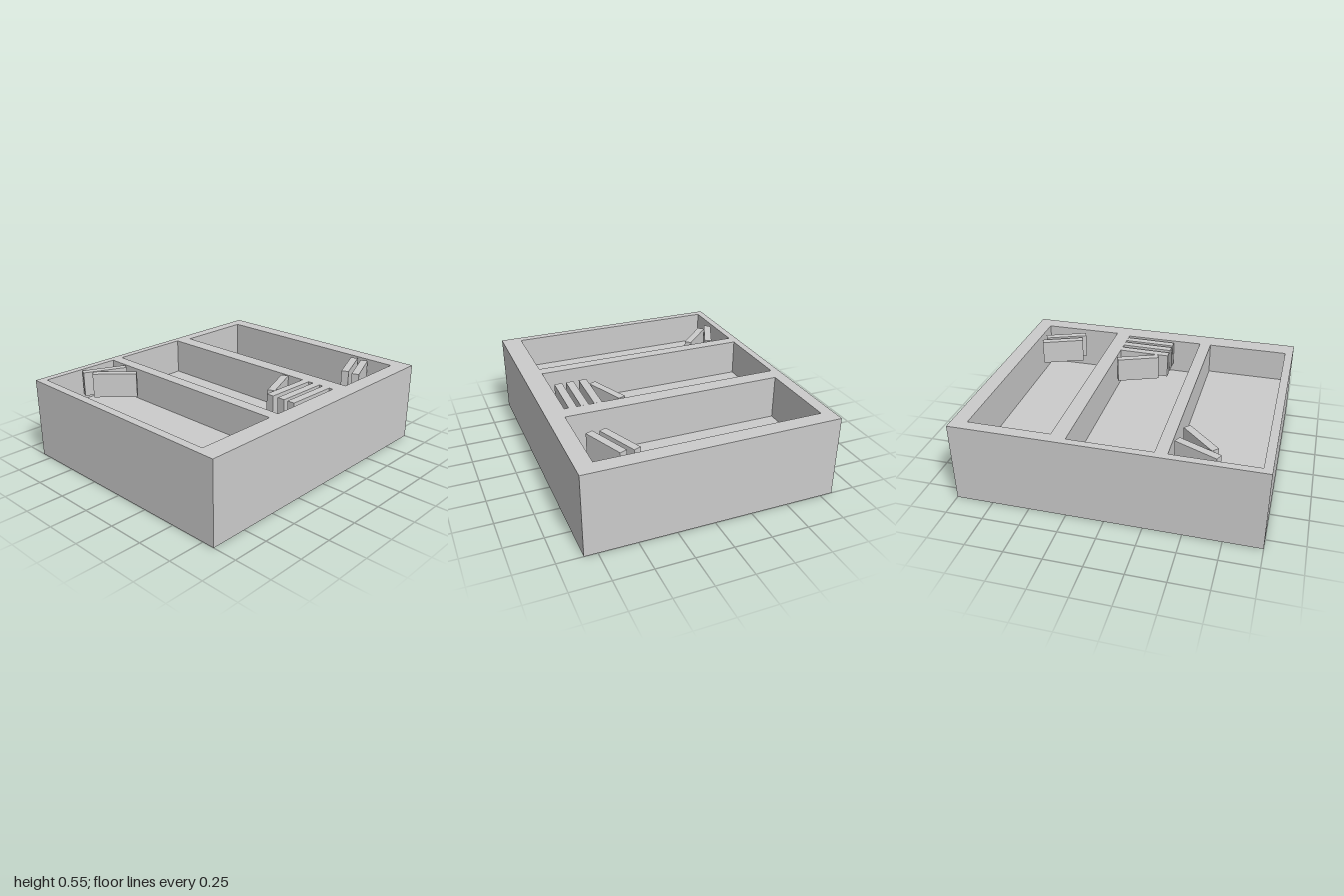
import * as THREE from 'three';

const material = new THREE.MeshStandardMaterial({ color: 0xcccccc, flatShading: true });
const HEIGHT = 0.55;

// Compartments: x range, z range, floor height
const compartments = [
  { x: [-0.755, 0.725], z: [-0.895, -0.345], floor: 0.25 },
  { x: [-0.785, 0.70], z: [-0.24, 0.31], floor: 0.30 },
  { x: [-0.785, 0.70], z: [0.39, 0.945], floor: 0.33 },
];

// Books: middles of the two ends [x, z] and the thickness
const books = [
  [[0.445, -0.855], [0.56, -0.575], 0.05],
  [[0.53, -0.855], [0.645, -0.575], 0.05],
  [[0.31, -0.225], [0.423, 0.05], 0.05],
  [[0.477, -0.24], [0.47, 0.117], 0.053],
  [[0.565, -0.24], [0.56, 0.117], 0.053],
  [[0.645, -0.24], [0.64, 0.117], 0.053],
  [[-0.617, 0.41], [-0.742, 0.685], 0.05],
  [[-0.462, 0.44], [-0.672, 0.652], 0.05],
];
const BOOK_HEIGHT = 0.17;

function rectangle(path, [x0, x1], [z0, z1]) {
  path.moveTo(x0, -z0);
  path.lineTo(x0, -z1);
  path.lineTo(x1, -z1);
  path.lineTo(x1, -z0);
  path.closePath();
  return path;
}

function addMesh(group, name, geometry) {
  const mesh = new THREE.Mesh(geometry, material);
  mesh.name = name;
  group.add(mesh);
  return mesh;
}

export function createModel() {
  const group = new THREE.Group();
  group.name = 'bookshelf';

  // Outer frame with shelf dividers
  const outline = rectangle(new THREE.Shape(), [-0.835, 0.835], [-1, 1]);
  for (const c of compartments) outline.holes.push(rectangle(new THREE.Path(), c.x, c.z));
  const frame = new THREE.ExtrudeGeometry(outline, { depth: HEIGHT, bevelEnabled: false });
  frame.rotateX(-Math.PI / 2);
  addMesh(group, 'frame', frame);

  // Back panel of each compartment
  for (const { x, z, floor } of compartments) {
    const panel = addMesh(group, 'backPanel', new THREE.BoxGeometry(x[1] - x[0], floor, z[1] - z[0]));
    panel.position.set((x[0] + x[1]) / 2, floor / 2, (z[0] + z[1]) / 2);
  }

  // Books, flush with the rim
  for (const [a, b, thickness] of books) {
    const dx = b[0] - a[0], dz = b[1] - a[1];
    const book = addMesh(group, 'book', new THREE.BoxGeometry(thickness, BOOK_HEIGHT, Math.hypot(dx, dz)));
    book.position.set((a[0] + b[0]) / 2, HEIGHT - BOOK_HEIGHT / 2, (a[1] + b[1]) / 2);
    book.rotation.y = Math.atan2(dx, dz);
  }
  return group;
}
